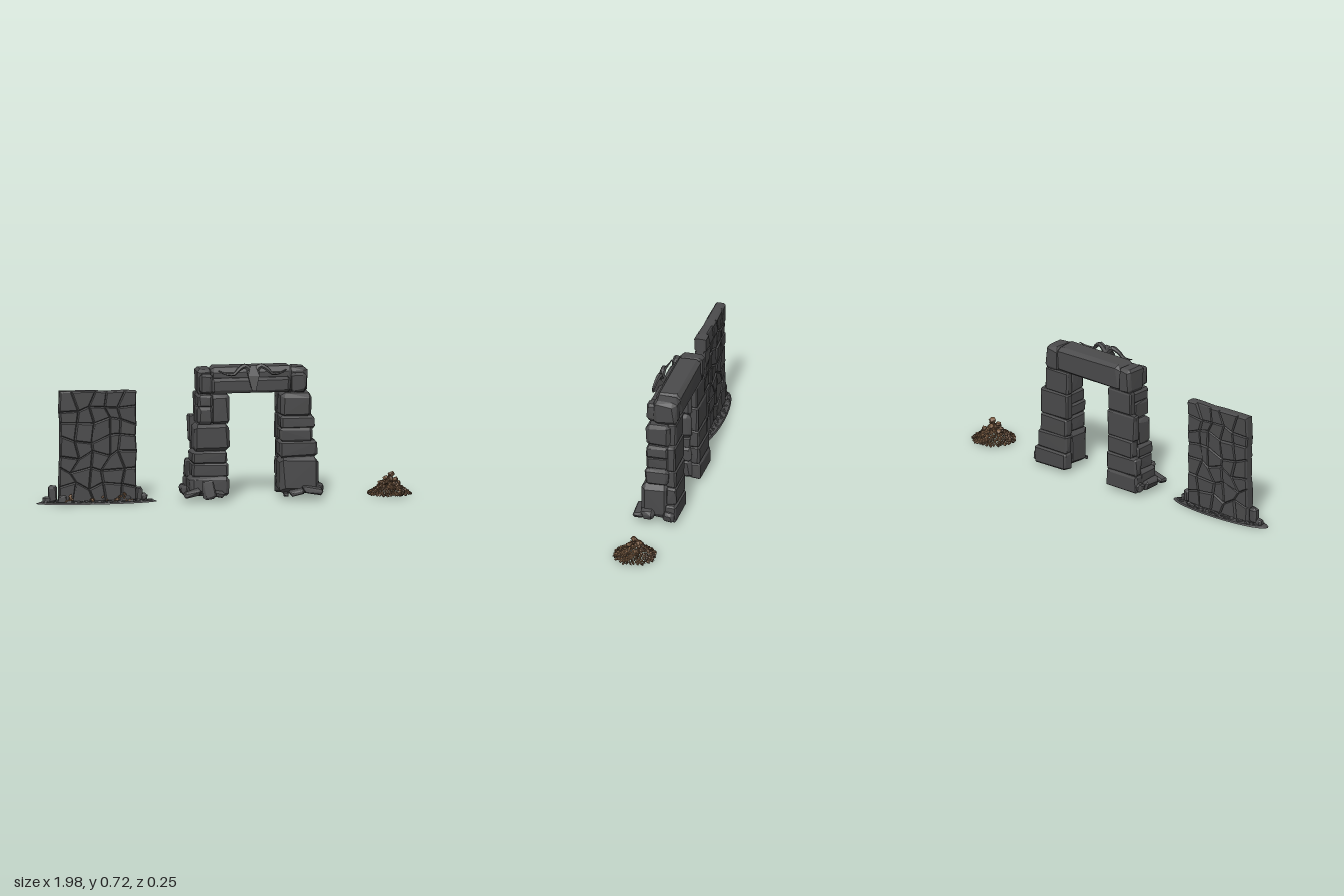
import * as THREE from 'three';
import { mergeGeometries } from 'three/addons/utils/BufferGeometryUtils.js';
import { ConvexGeometry } from 'three/addons/geometries/ConvexGeometry.js';

const V = (x, y, z) => new THREE.Vector3(x, y, z);

export function createModel() {
  let seed = 11;
  const rnd = () => {
    seed = (seed * 16807) % 2147483647;
    return seed / 2147483647;
  };
  const between = (a, b) => a + (b - a) * rnd();

  const flat = (name, color) => {
    const m = new THREE.MeshStandardMaterial({ color, side: THREE.DoubleSide });
    m.name = name;
    return m;
  };
  const stoneGrey = flat('stone grey', 0x4b4b4c);
  const earthBrown = flat('earth brown', 0x7a5c42);
  const darkBrown = flat('dark brown', 0x57422f);

  const model = new THREE.Group();
  const group = (name) => {
    const g = new THREE.Group();
    g.name = name;
    model.add(g);
    return g;
  };
  const add = (parent, name, geometry, material) => {
    const mesh = new THREE.Mesh(geometry, material);
    mesh.name = name;
    parent.add(mesh);
    return mesh;
  };

  // Chamfered, slightly irregular block of size w, h, d
  function block(w, h, d, chamfer = 0.16, rough = 0.07) {
    const half = [w / 2, h / 2, d / 2];
    const c = chamfer * Math.min(w, h, d);
    const points = [];
    for (const sx of [-1, 1]) for (const sy of [-1, 1]) for (const sz of [-1, 1]) {
      const s = [sx, sy, sz];
      const pull = half.map((v) => 1 - rough * rnd());
      for (let axis = 0; axis < 3; axis++) {
        const p = half.map((v, i) => s[i] * (i === axis ? v : v - c * between(0.6, 1.4)) * pull[i]);
        points.push(V(...p));
      }
    }
    return new ConvexGeometry(points);
  }
  const blockBetween = (x0, x1, y0, y1, z0, z1, chamfer, rough) =>
    block(x1 - x0, y1 - y0, z1 - z0, chamfer, rough)
      .translate((x0 + x1) / 2, (y0 + y1) / 2, (z0 + z1) / 2);

  // Small broken rock inside an ellipsoid
  function rock(rx, ry, rz, count = 11) {
    const points = [];
    for (let i = 0; i < count; i++) {
      const y = 1 - (2 * (i + 0.5)) / count, a = i * 2.4 + between(-0.4, 0.4);
      const r = Math.sqrt(1 - y * y), k = between(0.85, 1.1);
      points.push(V(Math.cos(a) * r * rx * k, y * ry * k, Math.sin(a) * r * rz * k));
    }
    return new ConvexGeometry(points);
  }

  // ---- Stone wall panel: jittered grid of wedge-edged stones ----
  const wall = group('wallPanel');
  const cols = 5, rows = 7;
  const grid = [];
  for (let j = 0; j <= rows; j++) for (let i = 0; i <= cols; i++) {
    const jx = i > 0 && i < cols ? between(-0.33, 0.33) : between(-0.04, 0.04);
    const jy = j > 0 && j < rows ? between(-0.33, 0.33) : between(-0.08, 0.04);
    grid.push([-0.877 + ((i + jx) / cols) * 0.405, 0.012 + ((j + jy) / rows) * 0.578]);
  }
  const wallStones = [];
  for (let j = 0; j < rows; j++) for (let i = 0; i < cols; i++) {
    const k = j * (cols + 1) + i;
    const quad = [grid[k], grid[k + 1], grid[k + cols + 2], grid[k + cols + 1]];
    const cx = quad.reduce((s, p) => s + p[0], 0) / 4;
    const cy = quad.reduce((s, p) => s + p[1], 0) / 4;
    const points = [];
    for (const side of [-1, 1]) {
      const t = between(0.024, 0.031), tilt = between(-0.05, 0.05);
      for (const [x, y] of quad) {
        const ix = cx + (x - cx) * 0.86, iy = cy + (y - cy) * 0.86;
        points.push(V(x, y, side * 0.018), V(ix, iy, side * (t + tilt * (ix - cx + iy - cy))));
      }
    }
    wallStones.push(new ConvexGeometry(points));
  }
  add(wall, 'wallStones', mergeGeometries(wallStones), stoneGrey);

  // Lens-shaped footing with flat cobbles
  const footing = new THREE.CylinderGeometry(0.94, 1, 0.008, 28).toNonIndexed();
  footing.scale(0.32, 1, 0.073).translate(-0.68, 0.004, 0);
  footing.computeVertexNormals();
  add(wall, 'footing', footing, stoneGrey);
  const cobbles = [];
  for (let i = 0; i < 90; i++) {
    const a = i * 2.39996, r = 0.93 * Math.sqrt((i + 0.5) / 90);
    cobbles.push(rock(between(0.014, 0.026), between(0.004, 0.009), between(0.006, 0.011), 9)
      .translate(-0.68 + Math.cos(a) * r * 0.305, 0.01, Math.sin(a) * r * 0.066));
  }
  add(wall, 'footingCobbles', mergeGeometries(cobbles), stoneGrey);
  const wallRocks = [
    [-0.935, -0.885, 0, 0.098, -0.025, 0.02], [-0.965, -0.92, 0, 0.04, -0.02, 0.02],
    [-0.89, -0.84, 0, 0.05, 0.015, 0.045], [-0.475, -0.435, 0, 0.085, -0.025, 0.02],
    [-0.45, -0.41, 0, 0.045, -0.02, 0.025], [-0.57, -0.5, 0, 0.035, 0.02, 0.045],
  ];
  wallRocks.forEach((b) => add(wall, 'footingRock', blockBetween(...b, 0.25, 0.3), stoneGrey));

  // Brown earth heaped against the wall
  for (const [x, n, spread] of [[-0.83, 9, 0.022], [-0.545, 16, 0.05], [-0.68, 6, 0.06]]) {
    const clods = [];
    for (let i = 0; i < n; i++) {
      const dx = between(-1, 1), s = between(0.006, 0.011);
      clods.push(rock(s, s, s, 8).translate(x + dx * spread,
        0.012 + rnd() * 0.045 * (1 - Math.abs(dx)), between(0.03, 0.045)));
    }
    add(wall, 'earthClods', mergeGeometries(clods), earthBrown);
  }

  // ---- Archway ----
  const arch = group('archway');
  const frontStones = [
    [-0.195, 0.02, 0.025, 0.13], [-0.185, 0.02, 0.12, 0.205], [-0.185, 0.01, 0.195, 0.262],
    [-0.172, 0.025, 0.255, 0.405], [-0.155, -0.065, 0.4, 0.5], [-0.08, 0.022, 0.4, 0.562],
    [-0.15, -0.07, 0.49, 0.56],
    [0.275, 0.49, 0.025, 0.225], [0.28, 0.485, 0.215, 0.31], [0.28, 0.46, 0.3, 0.375],
    [0.285, 0.472, 0.365, 0.44], [0.285, 0.455, 0.43, 0.56],
  ];
  frontStones.forEach(([x0, x1, y0, y1]) => add(arch, 'pillarStone',
    blockBetween(x0, x1, y0, y1, -0.085, y0 < 0.03 ? 0.062 : between(0.042, 0.05)), stoneGrey));
  const backRows = [0.02, 0.11, 0.205, 0.3, 0.44, 0.562];
  for (const side of [-1, 1]) for (let i = 0; i < 5; i++) {
    const inner = 0.135, outer = [0.345, 0.335, 0.32, 0.318, 0.295][i] + between(-0.01, 0.01);
    const xs = [0.14 + side * inner, 0.14 + side * outer].sort((a, b) => a - b);
    add(arch, 'pillarBackStone', blockBetween(...xs, backRows[i] - 0.003, backRows[i + 1] + 0.003,
      -0.13 + 0.004 * i, -0.07), stoneGrey);
  }

  // Lintel beam, front ledge and end stones
  add(arch, 'lintel', blockBetween(-0.085, 0.365, 0.558, 0.698, -0.118, 0.018, 0.16, 0.03), stoneGrey);
  add(arch, 'lintelLedge', blockBetween(-0.08, 0.345, 0.565, 0.645, -0.02, 0.052, 0.2, 0.03), stoneGrey);
  add(arch, 'lintelEnd', blockBetween(-0.15, -0.065, 0.552, 0.692, -0.118, 0.012, 0.2), stoneGrey);
  add(arch, 'lintelEnd', blockBetween(0.335, 0.437, 0.55, 0.692, -0.118, 0.012, 0.2), stoneGrey);
  add(arch, 'lintelEndFront', blockBetween(-0.14, -0.07, 0.562, 0.67, -0.01, 0.05, 0.25), stoneGrey);
  add(arch, 'lintelEndFront', blockBetween(0.345, 0.425, 0.562, 0.665, -0.01, 0.05, 0.25), stoneGrey);

  // Carved head: wedge muzzle, brow and curved horns
  const muzzle = new ConvexGeometry([-1, 1].flatMap((s) => [
    V(0.14 + s * 0.034, 0.685, 0.045), V(0.14 + s * 0.03, 0.66, 0.075), V(0.14 + s * 0.01, 0.582, 0.09),
    V(0.14 + s * 0.014, 0.6, 0.06), V(0.14 + s * 0.026, 0.66, 0.02), V(0.14 + s * 0.012, 0.712, 0.05),
  ]));
  add(arch, 'carvedHead', muzzle, stoneGrey);
  for (const s of [-1, 1]) {
    const at = (x, y, z) => V(0.14 + s * x, y, z);
    const path = new THREE.CatmullRomCurve3([at(0.012, 0.68, 0.045), at(0.04, 0.708, 0.042),
      at(0.075, 0.692, 0.05), at(0.1, 0.668, 0.056), at(0.14, 0.668, 0.05), at(0.18, 0.685, 0.035)]);
    const horn = new THREE.TubeGeometry(path, 14, 0.017, 6);
    const pos = horn.attributes.position;
    for (let i = 0; i < pos.count; i++) {
      const u = Math.floor(i / 7) / 14, c = path.getPointAt(u);
      const p = V(0, 0, 0).fromBufferAttribute(pos, i).sub(c).multiplyScalar(1 - 0.85 * u).add(c);
      pos.setXYZ(i, p.x, p.y, p.z);
    }
    const faceted = horn.toNonIndexed();
    faceted.computeVertexNormals();
    add(arch, 'carvedHorn', faceted, stoneGrey);
  }

  // Broken slabs at the pillar feet: x, y, z, width, height, depth, tilt about z, tilt about x
  const slabs = [
    [-0.185, 0.045, 0.075, 0.11, 0.035, 0.055, 0.25, 0.1], [-0.1, 0.065, 0.103, 0.075, 0.105, 0.035, 0.1, -0.2],
    [-0.05, 0.04, 0.075, 0.08, 0.035, 0.05, -0.2, 0.2], [-0.21, 0.05, -0.02, 0.05, 0.06, 0.12, 0.3, 0],
    [-0.2, 0.05, -0.1, 0.06, 0.06, 0.055, 0.2, 0], [0.45, 0.05, 0.075, 0.12, 0.035, 0.06, -0.2, 0.15],
    [0.48, 0.055, 0.02, 0.08, 0.06, 0.08, -0.35, 0], [0.37, 0.04, 0.075, 0.09, 0.03, 0.05, 0.2, 0.2],
    [0.485, 0.05, -0.09, 0.06, 0.065, 0.07, -0.2, 0], [0.31, 0.03, 0.07, 0.03, 0.02, 0.03, 0, 0.3],
  ];
  for (const [x, y, z, w, h, d, rz, rx] of slabs) {
    const slab = add(arch, 'brokenSlab', block(w, h, d, 0.25, 0.3), stoneGrey);
    slab.position.set(x, y, z);
    slab.rotation.set(rx, 0, rz);
  }

  // ---- Earth and rubble pile: small clods outside, larger ones on top ----
  const pile = group('rubblePile');
  const light = [], dark = [];
  const px = 0.868, pz = -0.01, total = 190;
  for (let i = 0; i < total; i++) {
    const r = Math.sqrt((i + 0.5) / total), a = i * 2.39996;
    const size = between(0.007, 0.012) + 0.005 * (1 - r);
    const y = 0.012 + 0.088 * Math.pow(1 - r, 1.25) * between(0.8, 1.05);
    const g = rock(size * 1.25, size * 0.85, size * 0.85, 9);
    g.rotateZ(-0.35).rotateY(-a).translate(px + Math.cos(a) * r * 0.112, y, pz + Math.sin(a) * r * 0.11);
    (i % 3 === 0 ? dark : light).push(g);
  }
  for (const [x, y, z, s] of [[0.012, 0.112, 0, 0.02], [-0.02, 0.093, 0.012, 0.019],
    [0.03, 0.086, 0.02, 0.018], [0, 0.085, -0.025, 0.02], [-0.045, 0.065, -0.015, 0.018], [0.05, 0.06, -0.02, 0.017]]) {
    light.push(rock(s, s * 0.85, s, 12).translate(px + x, y, pz + z));
  }
  add(pile, 'rubbleClods', mergeGeometries(light), earthBrown);
  add(pile, 'rubbleDarkClods', mergeGeometries(dark), darkBrown);
  return model;
}
